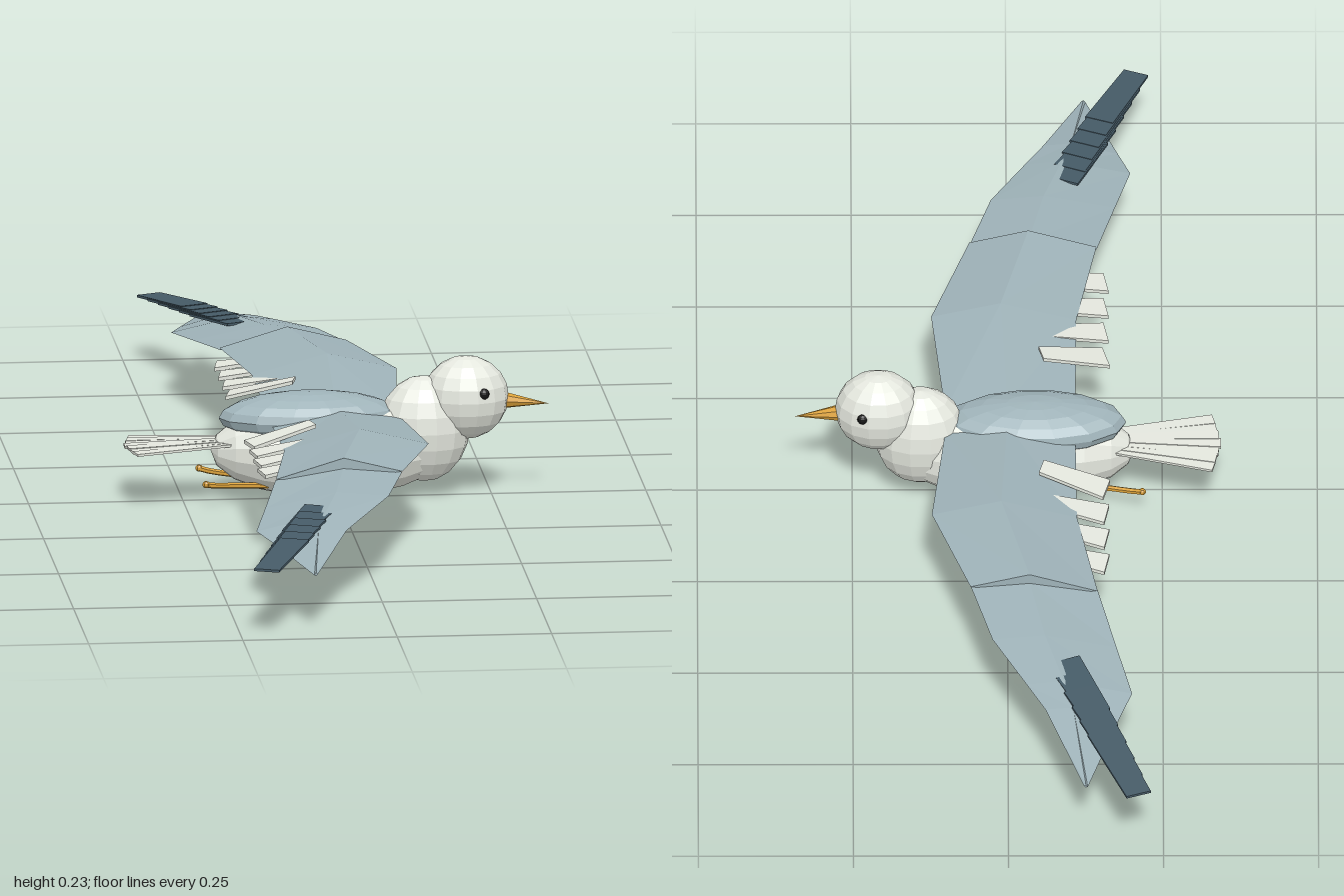
import * as THREE from 'three';

const mat = (color) => new THREE.MeshStandardMaterial({ color, flatShading: true, roughness: 0.9 });
const white = mat(0xe4e7de), blue = mat(0x9fb3b9), dark = mat(0x465b67), yellow = mat(0xdca23a), black = mat(0x151515);

function add(parent, name, geometry, material) {
  const mesh = new THREE.Mesh(geometry, material);
  mesh.name = name;
  parent.add(mesh);
  return mesh;
}

// Faceted ellipsoid with its poles along the given axis
function ellipsoid(parent, name, material, [x, y, z], [rx, ry, rz], poleX = false, w = 14, h = 10) {
  const g = new THREE.SphereGeometry(1, w, h);
  if (poleX) g.rotateZ(-Math.PI / 2);
  g.scale(rx, ry, rz).translate(x, y, z);
  return add(parent, name, g, material);
}

// Skin a row of matching closed sections and cap both ends; faces always turn outwards
function loft(sections) {
  const n = sections[0].length, tris = [], at = (i, j) => sections[i][j % n];
  for (let i = 0; i < sections.length - 1; i++) {
    for (let j = 0; j < n; j++) {
      tris.push([at(i, j), at(i, j + 1), at(i + 1, j + 1)], [at(i, j), at(i + 1, j + 1), at(i + 1, j)]);
    }
  }
  const e = sections.length - 1;
  for (let j = 1; j < n - 1; j++) {
    tris.push([at(0, 0), at(0, j + 1), at(0, j)], [at(e, 0), at(e, j), at(e, j + 1)]);
  }
  const c = sections[0][0];
  let volume = 0;
  for (const [p, q, r] of tris) {
    const [a, b, d] = [p, q, r].map((v) => new THREE.Vector3(v[0] - c[0], v[1] - c[1], v[2] - c[2]));
    volume += a.dot(b.cross(d));
  }
  if (volume < 0) tris.forEach((t) => t.reverse());
  const g = new THREE.BufferGeometry();
  g.setAttribute('position', new THREE.Float32BufferAttribute(tris.flat(2), 3));
  g.computeVertexNormals();
  return g;
}

// Thin flat feather running from a to b, w0 wide at the root and w1 at the tip
function feather(a, b, w0, w1, t = 0.004) {
  const dx = b[0] - a[0], dz = b[2] - a[2], len = Math.hypot(dx, dz);
  const nx = -dz / len / 2, nz = dx / len / 2;
  const ring = ([x, y, z], w) => [[1, 1], [1, -1], [-1, -1], [-1, 1]].map(
    ([s, u]) => [x + s * nx * w, y + u * t / 2, z + s * nz * w]);
  return loft([ring(a, w0), ring(b, w1)]);
}

// Wing section: leading edge, raised ridge, trailing edge, underside
const section = (s, z, [lx, ly], [rx, ry], [tx, ty], drop) => [
  [lx, ly, s * z], [rx, ry, s * z], [tx, ty, s * z], [rx, Math.min(ly, ty) - drop, s * z]];

function buildWing(s, name) {
  const wing = new THREE.Group();
  wing.name = name;
  add(wing, 'innerWing', loft([
    section(s, 0.03, [0.1, 0.136], [0.0, 0.152], [-0.11, 0.13], 0.003),
    section(s, 0.27, [0.122, 0.148], [0.01, 0.175], [-0.112, 0.142], 0.003),
    section(s, 0.47, [0.06, 0.15], [-0.035, 0.174], [-0.145, 0.141], 0.003),
  ]), blue);
  add(wing, 'outerWing', loft([
    section(s, 0.465, [0.06, 0.148], [-0.035, 0.157], [-0.145, 0.139], 0.002),
    section(s, 0.6, [0.025, 0.14], [-0.06, 0.148], [-0.175, 0.124], 0.002),
    section(s, 0.71, [-0.03, 0.13], [-0.09, 0.137], [-0.2, 0.112], 0.002),
    section(s, 0.77, [-0.06, 0.124], [-0.105, 0.128], [-0.18, 0.107], 0.002),
    section(s, 0.935, [-0.122, 0.092], [-0.125, 0.094], [-0.128, 0.09], 0.001),
  ]), blue);

  // Dark flight feathers, longer towards the tip
  for (let i = 0; i < 6; i++) {
    const k = i / 5;
    add(wing, 'primaryFeather', feather(
      [-0.09 - 0.06 * k, 0.138 - 0.012 * k, s * (0.655 + 0.18 * k)],
      [-0.145 - 0.065 * k, 0.126 - 0.015 * k, s * (0.78 + 0.205 * k)], 0.055 - 0.007 * k, 0.042), dark);
  }
  // Pale feathers along the trailing edge
  for (let i = 0; i < 4; i++) {
    const z = 0.18 + 0.068 * i;
    const root = i === 0 ? [-0.055, 0.158, s * (z - 0.025)] : [-0.07, 0.145, s * (z - 0.015)];
    add(wing, 'secondaryFeather', feather(root, [-0.16, 0.131, s * z], 0.034, 0.05, 0.006), white);
  }
  return wing;
}

export function createModel() {
  const bird = new THREE.Group();
  bird.name = 'bird';

  // Body, back, chest and head
  ellipsoid(bird, 'body', white, [-0.01, 0.082, 0], [0.195, 0.082, 0.074], true);
  ellipsoid(bird, 'back', blue, [-0.045, 0.135, 0], [0.147, 0.041, 0.068]);
  ellipsoid(bird, 'chest', white, [0.14, 0.111, 0], [0.075, 0.087, 0.057]);
  ellipsoid(bird, 'head', white, [0.208, 0.161, 0], [0.07, 0.068, 0.057]);

  // Beak, with the tip slightly lowered
  const beak = new THREE.ConeGeometry(0.014, 0.075, 8);
  beak.rotateZ(-Math.PI / 2 - 0.1).translate(0.305, 0.151, 0);
  add(bird, 'beak', beak, yellow);

  // Tail fan
  for (let i = -3; i <= 3; i++) {
    const tipX = -0.345 + 0.004 * Math.abs(i);
    add(bird, 'tailFeather', feather(
      [-0.15, 0.1 - 0.001 * Math.abs(i), i * 0.007], [tipX, 0.092 + 0.001 * (i % 2), i * 0.021], 0.014, 0.024), white);
  }

  for (const s of [1, -1]) {
    ellipsoid(bird, 'eye', black, [0.233, 0.176, s * 0.048], [0.009, 0.009, 0.007], false, 10, 8);

    // Leg trailing backwards, ending in a small thickened foot
    const path = new THREE.CatmullRomCurve3([
      new THREE.Vector3(-0.115, 0.028, s * 0.03), new THREE.Vector3(-0.165, 0.032, s * 0.04),
      new THREE.Vector3(-0.2, 0.035, s * 0.052), new THREE.Vector3(-0.22, 0.039, s * 0.06)]);
    add(bird, 'leg', new THREE.TubeGeometry(path, 6, 0.0048, 6), yellow);
    ellipsoid(bird, 'foot', yellow, [-0.218, 0.039, s * 0.059], [0.006, 0.006, 0.006], false, 6, 5);

    bird.add(buildWing(s, s > 0 ? 'frontWing' : 'backWing'));
  }
  return bird;
}
